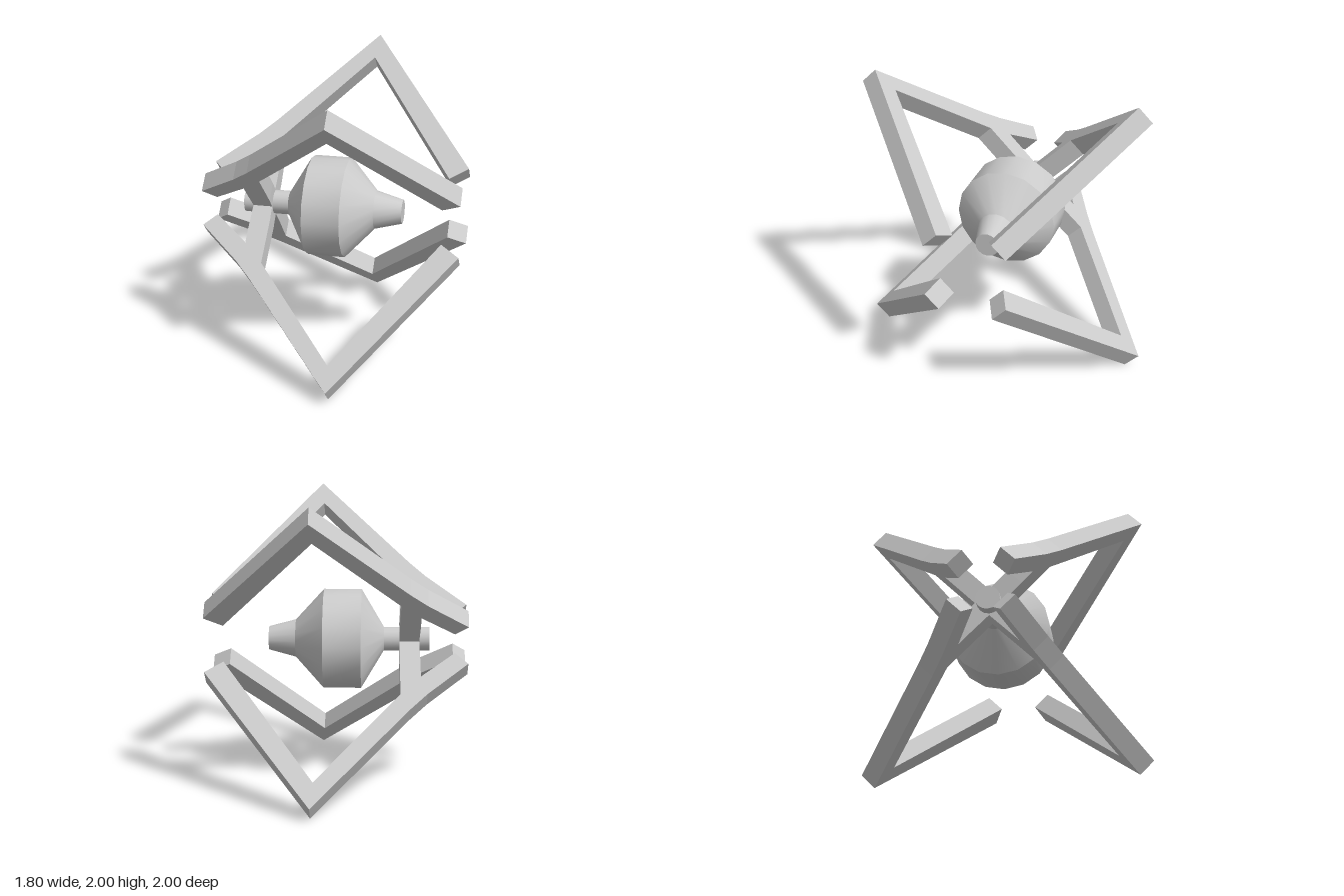
import * as THREE from 'three';
import { toCreasedNormals } from 'three/addons/utils/BufferGeometryUtils.js';

const R2 = Math.SQRT2;
const THICK = 0.134;

export function createModel() {
  const model = new THREE.Group();
  model.name = 'fourWingedCraft';
  const grey = new THREE.MeshStandardMaterial({ color: 0xcccccc });

  // Central pod: shaft, double-cone body and tapered nose, turned about x
  const profile = [
    [0, -0.64], [0.083, -0.64], [0.083, -0.325], [0.348, -0.17],
    [0.348, 0.09], [0.133, 0.285], [0.083, 0.472], [0, 0.472],
  ].map(([r, x]) => new THREE.Vector2(r, x));
  const pod = new THREE.Mesh(
    toCreasedNormals(new THREE.LatheGeometry(profile, 16), Math.PI / 6), grey);
  pod.name = 'centralPod';
  pod.rotation.z = -Math.PI / 2;
  pod.position.y = 1;
  model.add(pod);

  // Bent wing with its strut in one outline; heights are as projected at 45 degrees
  const outline = [
    [-0.9, 0.173], [-0.81, 0.112], [-0.577, 0.247], [-0.575, 0.17], [-0.565, 0],
    [-0.435, 0], [-0.432, 0.12], [-0.44, 0.345], [0.125, 0.818], [0.77, 0.172],
    [0.897, 0.233], [0.14, 0.953], [-0.5, 0.433], [-0.62, 0.345],
  ].map(([x, y]) => new THREE.Vector2(x, y * R2));
  const wingGeometry = new THREE.ExtrudeGeometry(new THREE.Shape(outline), {
    depth: THICK, bevelEnabled: false,
  });
  wingGeometry.translate(0, 0, -THICK / 2);

  // Four wings in an X around the pod
  ['upperFront', 'lowerFront', 'lowerBack', 'upperBack'].forEach((place, i) => {
    const wing = new THREE.Mesh(wingGeometry, grey);
    wing.name = place + 'Wing';
    wing.position.y = 1;
    wing.rotation.x = Math.PI / 4 + i * Math.PI / 2;
    model.add(wing);
  });

  return model;
}
